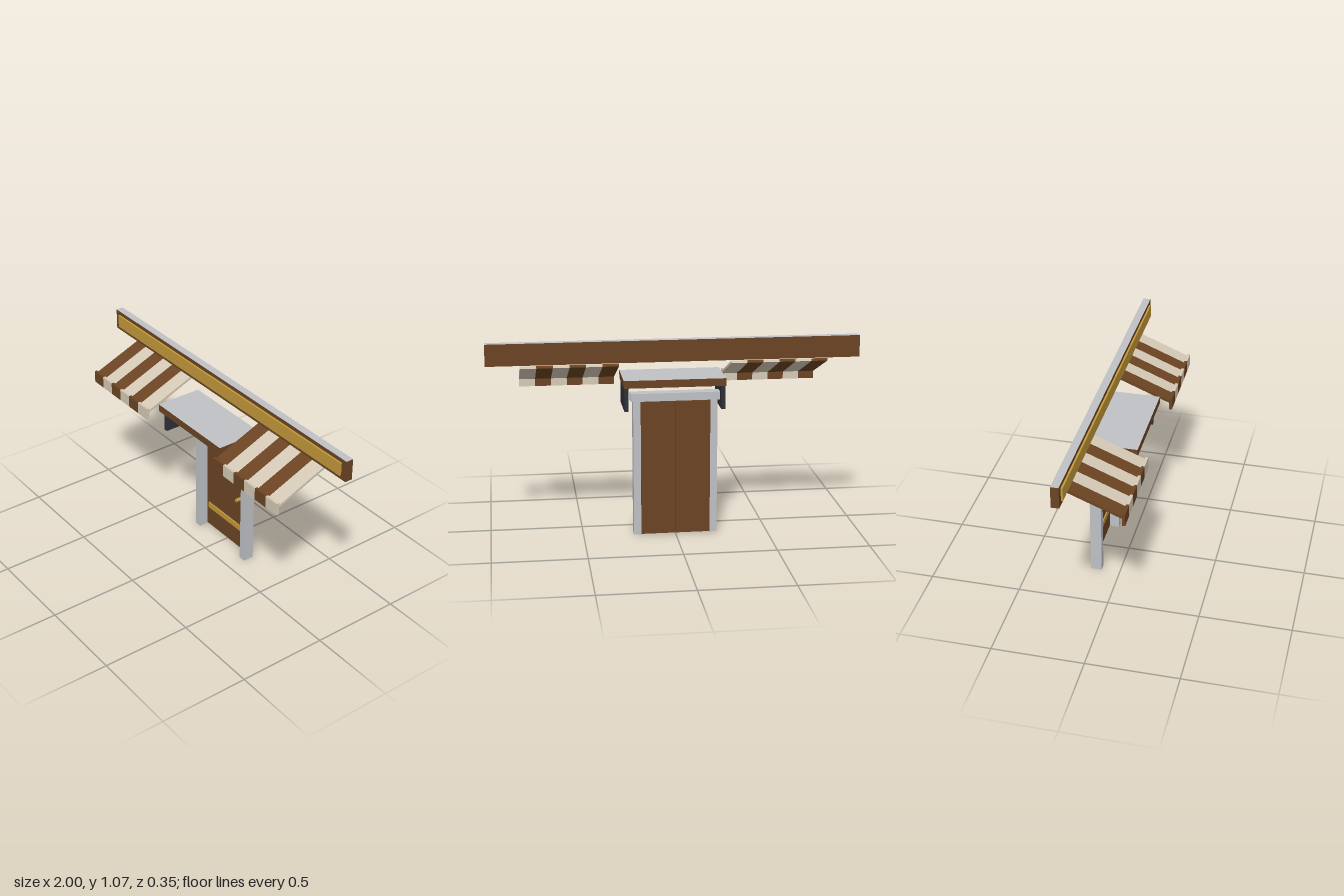
import * as THREE from 'three';

const mat = (name, color) => {
  const m = new THREE.MeshStandardMaterial({ color });
  m.name = name;
  return m;
};

export function createModel() {
  const wood = mat('brown wood', 0x6b4423);
  const gold = mat('gold', 0xc49a3a);
  const cream = mat('cream cloth', 0xd6cab6);
  const stone = mat('grey stone', 0xc0c1c5);
  const iron = mat('dark iron', 0x2f2f3a);

  const model = new THREE.Group();
  model.name = 'shopfront';

  // Box given by its minimum and maximum on each axis
  const box = (name, material, [x0, x1], [y0, y1], [z0, z1], parent = model) => {
    const mesh = new THREE.Mesh(new THREE.BoxGeometry(x1 - x0, y1 - y0, z1 - z0), material);
    mesh.position.set((x0 + x1) / 2, (y0 + y1) / 2, (z0 + z1) / 2);
    mesh.name = name;
    parent.add(mesh);
    return mesh;
  };
  // Box sides in order +x, -x, +y, -y, +z, -z: wood with a grey top
  const cappedWood = [wood, wood, stone, wood, wood, wood];

  // Sign beam with its gold panel
  box('signBeam', cappedWood, [-1, 1], [0.954, 1.072], [-0.147, -0.105]);
  box('signPanel', gold, [-0.967, 0.967], [0.977, 1.05], [-0.105, -0.095]);

  // Canopy over the door
  box('canopy', cappedWood, [-0.275, 0.275], [0.816, 0.858], [-0.155, 0.11]);

  // Door frame and canopy brackets, mirrored
  for (const s of [-1, 1]) {
    const span = (a, b) => (s > 0 ? [a, b] : [-b, -a]);
    box('framePost', stone, span(0.187, 0.227), [0, 0.745], [-0.165, -0.103]);
    box('canopyBracket', iron, span(0.25, 0.272), [0.687, 0.816], [-0.146, 0.077]);
    box('doorLeaf', wood, span(0.002, 0.187), [0.005, 0.745], [-0.173, -0.157]);
  }
  box('frameLintel', stone, [-0.24, 0.24], [0.745, 0.788], [-0.165, -0.103]);

  // Door straps
  for (const y of [0.143, 0.624]) {
    box('doorStrap', gold, [-0.17, 0.17], [y - 0.017, y + 0.017], [-0.157, -0.15]);
  }

  // Door handle
  const handle = new THREE.Mesh(new THREE.CylinderGeometry(0.011, 0.011, 0.05, 6), gold);
  handle.rotation.x = Math.PI / 2;
  handle.position.set(0.14, 0.36, -0.132);
  handle.name = 'doorHandle';
  model.add(handle);

  // Striped awnings: sloping strips, each with a hanging valance
  const stripes = 6;
  const width = 0.52 / stripes;
  for (const start of [-0.82, 0.3]) {
    const awning = new THREE.Group();
    awning.name = 'awning';
    for (let i = 0; i < stripes; i++) {
      const x = start + i * width;
      const cloth = i % 2 ? cream : wood;
      const strip = box('awningStrip', cloth, [x, x + width], [0.876, 0.89], [-0.177, 0.171], awning);
      strip.rotation.x = 0.384;
      box('awningValance', cloth, [x, x + width], [0.77, 0.838], [0.157, 0.173], awning);
    }
    model.add(awning);
  }

  return model;
}
